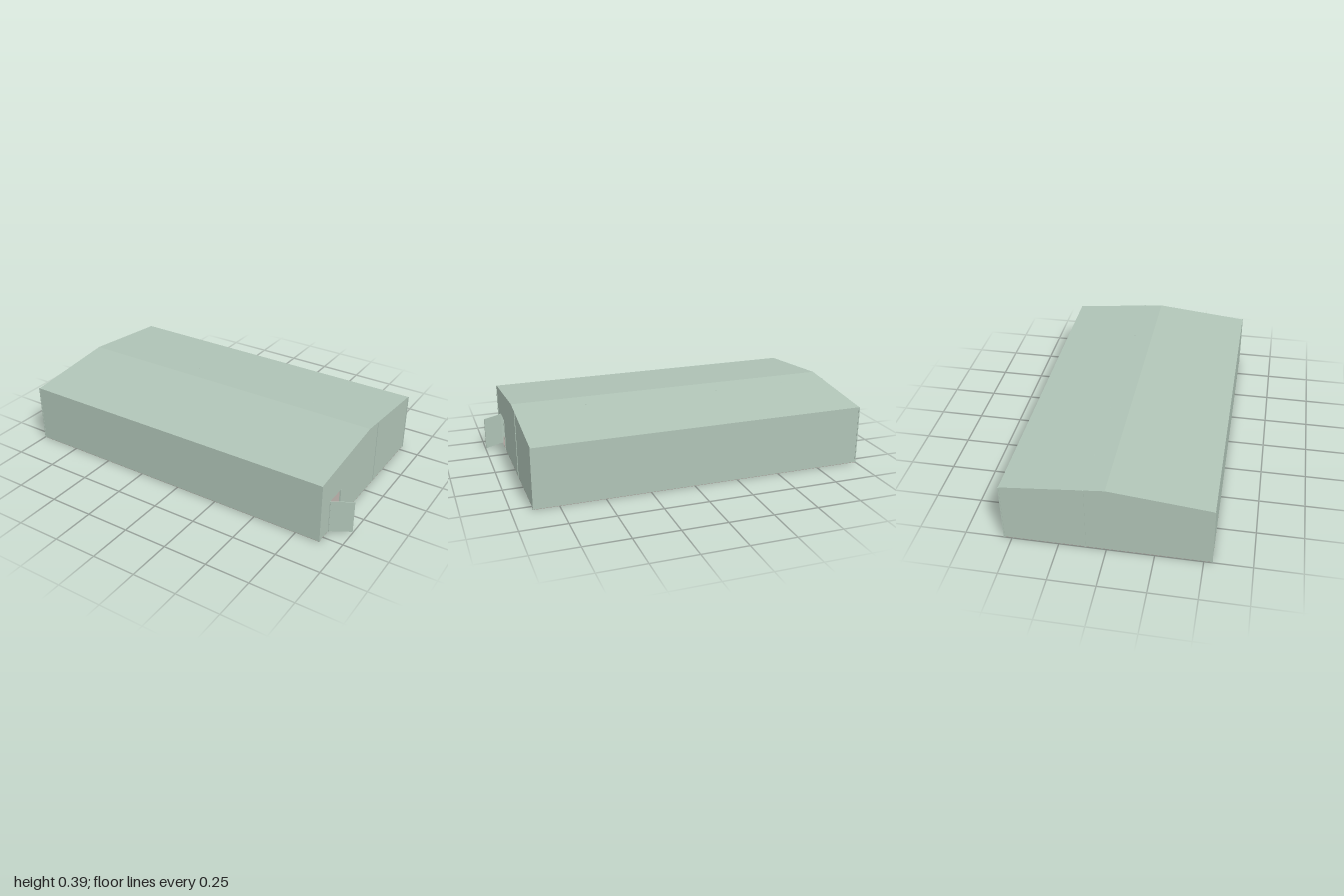
import * as THREE from 'three';

const X0 = -0.997, X1 = 0.887;   // outer faces of the gable walls
const Z = 0.543;                 // half depth
const EAVE = 0.339, RIDGE = 0.394;
const T = 0.005;                 // sheet thickness
const BASE = 0.002;              // floor thickness
const DOOR_NEAR = 0.44, DOOR_FAR = 0.322, DOOR_H = 0.19;
const COLUMN_Z = -0.11;

export function createModel() {
  const model = new THREE.Group();
  model.name = 'warehouse';
  const cladding = new THREE.MeshStandardMaterial({ color: 0xb0c4b7 });
  cladding.name = 'pale green cladding';
  const concrete = new THREE.MeshStandardMaterial({ color: 0xa69d98 });
  concrete.name = 'warm grey concrete';

  const add = (name, geometry, material, x = 0, y = 0, z = 0, parent = model) => {
    const mesh = new THREE.Mesh(geometry, material);
    mesh.name = name;
    mesh.position.set(x, y, z);
    parent.add(mesh);
    return mesh;
  };
  const box = (name, material, w, h, d, x, y, z, parent) =>
    add(name, new THREE.BoxGeometry(w, h, d), material, x, y + h / 2, z, parent);

  // Extrude a (z, y) profile along x, ending at xEnd
  const extrudeX = (name, points, length, xEnd) => {
    const shape = new THREE.Shape(points.map(p => new THREE.Vector2(...p)));
    const geometry = new THREE.ExtrudeGeometry(shape, { depth: length, bevelEnabled: false });
    geometry.rotateY(-Math.PI / 2);
    return add(name, geometry, cladding, xEnd);
  };
  const roofY = z => RIDGE - (RIDGE - EAVE) * Math.abs(z) / Z;

  // Floor slab
  const midX = (X0 + X1) / 2, length = X1 - X0;
  box('floor', concrete, length, BASE, Z * 2, midX, 0, 0);

  // Gable walls, the left one notched for the doorway
  const gableTop = [[Z, BASE], [Z, EAVE], [0, RIDGE], [-Z, EAVE], [-Z, BASE]];
  extrudeX('rightGableWall', gableTop, T, X0 + T);
  extrudeX('leftGableWall', [
    ...gableTop,
    [DOOR_FAR, BASE], [DOOR_FAR, DOOR_H], [DOOR_NEAR, DOOR_H], [DOOR_NEAR, BASE],
  ], T, X1);

  // Long walls and the pitched roof between the gables
  for (const [name, s] of [['frontWall', 1], ['backWall', -1]]) {
    box(name, cladding, length - 2 * T, EAVE - BASE - T, T, midX, BASE, s * (Z - T / 2));
  }
  extrudeX('roof', [
    [Z, EAVE], [0, RIDGE], [-Z, EAVE],
    [-Z, EAVE - T], [0, RIDGE - T], [Z, EAVE - T],
  ], length - 2 * T, X1 - T);

  // Corner posts
  for (const x of [X0, X1]) {
    for (const s of [-1, 1]) {
      box('cornerPost', cladding, 0.006, EAVE, 0.006, x, 0, s * (Z - 0.001));
    }
  }

  // Row of columns reaching just through the roof
  for (const x of [X0, -0.72, -0.295, 0.49, X1]) {
    box('column', cladding, 0.006, roofY(COLUMN_Z) + 0.001, 0.006, x, 0, COLUMN_Z);
  }

  // Door frame
  for (const z of [DOOR_NEAR + 0.002, DOOR_FAR - 0.002]) {
    box('doorJamb', cladding, 0.008, DOOR_H, 0.006, X1 - 0.001, 0, z);
  }

  // Open door leaf, hinged at the jamb nearest the front
  const door = new THREE.Group();
  door.name = 'door';
  door.position.set(X1 + 0.003, 0, DOOR_NEAR);
  door.rotation.y = Math.atan2(0.062, 0.107);
  model.add(door);
  box('doorLeaf', cladding, 0.123, 0.186, 0.004, 0.0615, 0.003, 0, door);
  box('doorHandle', cladding, 0.008, 0.004, 0.008, 0.115, 0.095, 0, door);

  // Low block seen through the doorway
  box('lowBlock', concrete, 0.06, 0.07, 0.3, X0 + T + 0.04, BASE, 0.38);

  return model;
}
